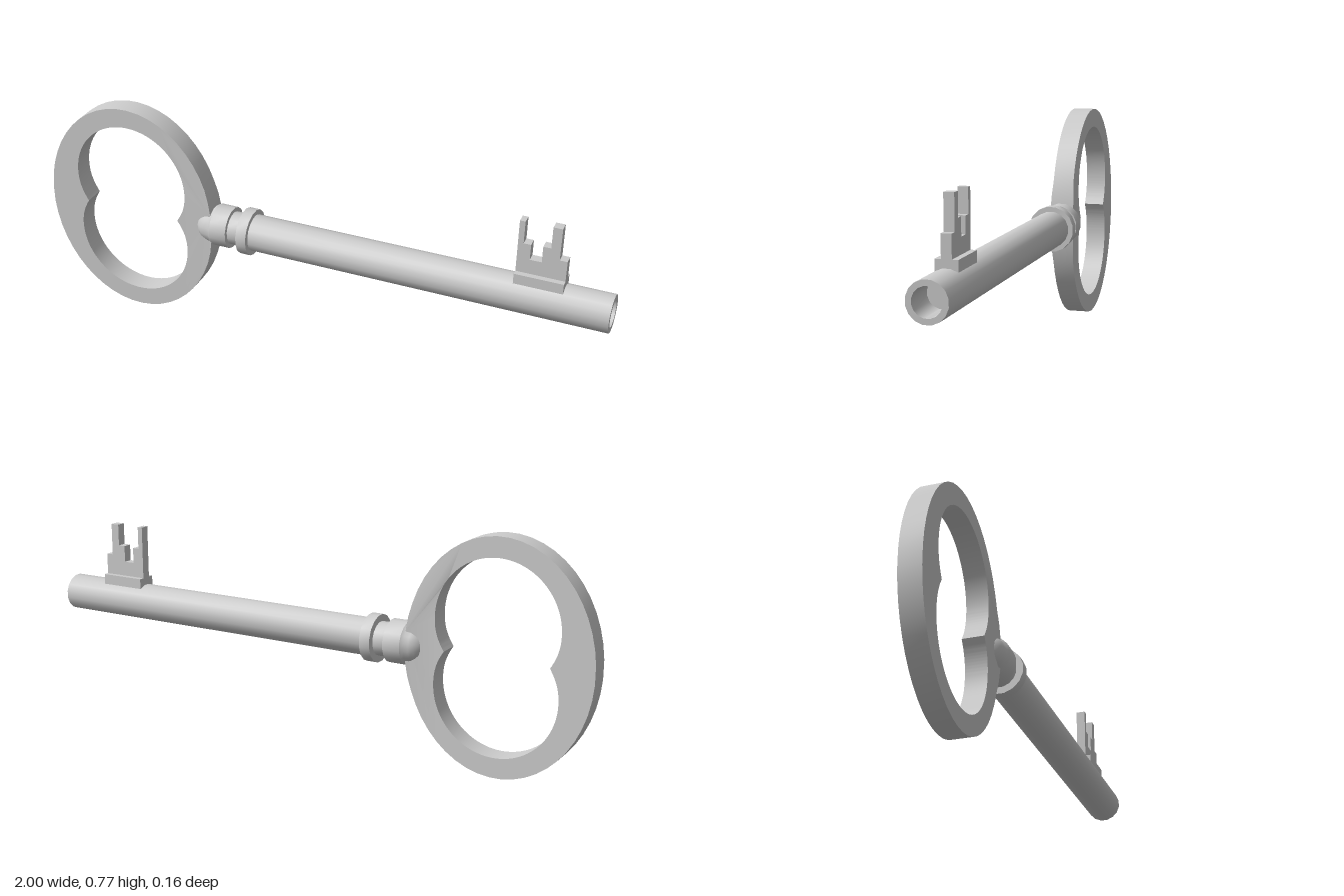
import * as THREE from 'three';
import { toCreasedNormals } from 'three/addons/utils/BufferGeometryUtils.js';

const AXIS_Y = 0.39; // height of the shaft axis
const BOW_X = -0.685;
const material = new THREE.MeshStandardMaterial({ color: 0xcccccc });

function addMesh(group, name, geometry, crease = 0.6) {
  const mesh = new THREE.Mesh(toCreasedNormals(geometry, crease), material);
  mesh.name = name;
  group.add(mesh);
  return mesh;
}

// Turned part along x from [x, radius] pairs
function turned(pairs) {
  const points = pairs.map(([x, r]) => new THREE.Vector2(r, x));
  return new THREE.LatheGeometry(points, 16, Math.PI / 16)
    .rotateZ(-Math.PI / 2)
    .translate(0, AXIS_Y, 0);
}

function extruded(shape, depth, curveSegments = 12) {
  return new THREE.ExtrudeGeometry(shape, { depth, curveSegments, bevelEnabled: false })
    .translate(0, 0, -depth / 2);
}

// Oval bow with an outer notch and a two-lobed opening
function bowGeometry() {
  const rx = 0.315, ry = 0.387, gap = 0.08;
  const shape = new THREE.Shape();
  shape.moveTo(-0.225, 0);
  shape.absellipse(0, 0, rx, ry, -Math.PI + gap, Math.PI - gap, false, 0);
  shape.closePath();

  const hole = new THREE.Path();
  hole.moveTo(-0.172, 0);
  hole.bezierCurveTo(-0.19, 0.03, -0.204, 0.06, -0.204, 0.108);
  hole.absellipse(0.005, 0.108, 0.209, 0.212, Math.PI, 0, true, 0);
  hole.bezierCurveTo(0.214, 0.06, 0.2, 0.03, 0.18, 0);
  hole.bezierCurveTo(0.2, -0.03, 0.214, -0.06, 0.214, -0.108);
  hole.absellipse(0.005, -0.108, 0.209, 0.212, 0, -Math.PI, true, 0);
  hole.bezierCurveTo(-0.204, -0.06, -0.19, -0.03, -0.172, 0);
  shape.holes.push(hole);

  const geometry = extruded(shape, 0.073, 24);
  // Thicken the outer rim slightly where it meets the socket
  const p = geometry.attributes.position;
  for (let i = 0; i < p.count; i++) {
    if (p.getX(i) < 0.25) continue;
    const t = THREE.MathUtils.clamp((0.15 - Math.abs(p.getY(i))) / 0.08, 0, 1);
    p.setZ(i, p.getZ(i) * (1 + 0.15 * t));
  }
  return geometry.translate(BOW_X, AXIS_Y, 0);
}

export function createModel() {
  const key = new THREE.Group();
  key.name = 'key';

  addMesh(key, 'bow', bowGeometry());

  // Socket: rounded end, sleeve, neck and collar
  const dome = [];
  for (let i = 0; i <= 6; i++) {
    const a = (i / 6) * Math.PI / 2;
    dome.push([-0.375 - 0.063 * Math.cos(a), 0.065 * Math.sin(a)]);
  }
  addMesh(key, 'socket', turned([
    ...dome, [-0.365, 0.072], [-0.305, 0.072], [-0.305, 0.057], [-0.262, 0.057],
    [-0.262, 0.08], [-0.225, 0.08], [-0.225, 0],
  ]));

  // Hollow-ended shaft
  addMesh(key, 'shaft', turned([
    [-0.24, 0], [-0.24, 0.063], [1, 0.063], [1, 0.045], [0.88, 0.045], [0.88, 0],
  ]));

  // Bit: foot block and toothed plate
  addMesh(key, 'bitFoot',
    new THREE.BoxGeometry(0.16, 0.06, 0.07).translate(0.765, 0.448, 0));
  const teeth = new THREE.Shape([
    [0.685, 0.44], [0.845, 0.44], [0.845, 0.55], [0.82, 0.55], [0.82, 0.661],
    [0.79, 0.661], [0.79, 0.586], [0.765, 0.586], [0.765, 0.529], [0.727, 0.529],
    [0.727, 0.583], [0.703, 0.583], [0.703, 0.661], [0.685, 0.661],
  ].map(([x, y]) => new THREE.Vector2(x, y)));
  addMesh(key, 'bitTeeth', extruded(teeth, 0.032));

  return key;
}
